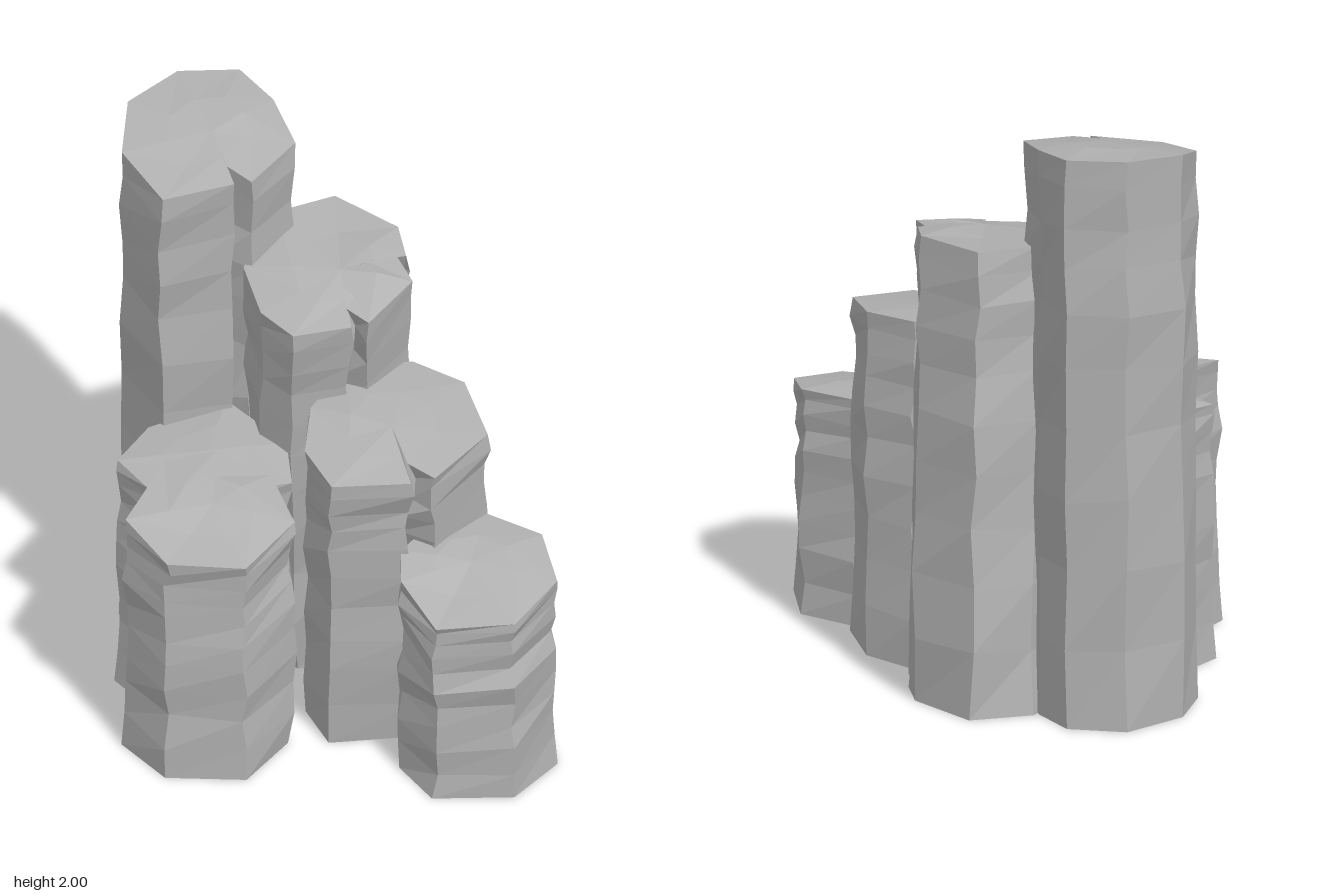
import * as THREE from 'three';

// Repeatable noise in -1..1
function seeded(seed) {
  let s = seed;
  return () => {
    s = (s * 16807) % 2147483647;
    return (s / 2147483647) * 2 - 1;
  };
}

// One leaning stone column. rim: [x, z, y, cleft] corners, clockwise from above;
// lean: [x, z] offset of the foot. Corners flagged as cleft weave in and out.
function columnGeometry(rim, lean, seed) {
  const rand = seeded(seed * 7919 + 13);
  const n = rim.length;
  const mean = k => rim.reduce((sum, p) => sum + p[k], 0) / n;
  const cx = mean(0), cz = mean(1), cy = mean(2);
  const levels = [0, 0.05, 0.12, 0.19, 0.27, 0.37, 0.48, 0.6, 0.72, 0.86, 1];
  const rings = levels.map((t, level) => rim.map(([x, z, y, cleft]) => {
    const rough = level === 0 ? 0 : 0.011;
    let px = x + lean[0] * t, pz = z + lean[1] * t;
    // Worn waist under the front of the cap
    if (z > cz && t > 0.1 && t < 0.35) pz -= 0.015;
    if (cleft) {
      px += Math.sin(t * 22) * 0.02;
      pz += Math.sin(t * 17) * 0.025;
    }
    const sway = level > 0 && level < levels.length - 1 ? rand() * 0.012 : 0;
    return [px + rand() * rough, y * (1 - t) + sway, pz + rand() * rough];
  }));

  const pos = [];
  const tri = (a, b, c) => pos.push(...a, ...b, ...c);
  for (let r = 0; r < rings.length - 1; r++) {
    for (let i = 0; i < n; i++) {
      const j = (i + 1) % n, up = rings[r], low = rings[r + 1];
      tri(up[i], up[j], low[j]);
      tri(up[i], low[j], low[i]);
    }
  }
  // Faceted cap with an inner ring, and a flat foot
  const centre = [cx, cy + 0.022, cz];
  const inner = rings[0].map(p => [
    cx + (p[0] - cx) * 0.5,
    cy + 0.015 + (p[1] - cy) * 0.55 + rand() * 0.008,
    cz + (p[2] - cz) * 0.5,
  ]);
  const foot = rings[rings.length - 1];
  const footCentre = [cx + lean[0], 0, cz + lean[1]];
  for (let i = 0; i < n; i++) {
    const j = (i + 1) % n;
    tri(centre, inner[j], inner[i]);
    tri(inner[i], inner[j], rings[0][j]);
    tri(inner[i], rings[0][j], rings[0][i]);
    tri(footCentre, foot[i], foot[j]);
  }
  const geometry = new THREE.BufferGeometry();
  geometry.setAttribute('position', new THREE.Float32BufferAttribute(pos, 3));
  geometry.computeVertexNormals();
  return geometry;
}

export function createModel() {
  const group = new THREE.Group();
  group.name = 'stoneColumns';
  const stone = new THREE.MeshStandardMaterial({ color: 0xb0b0b0, flatShading: true });
  stone.name = 'grey stone';

  let seed = 1;
  const addColumn = (name, lean, rim) => {
    const mesh = new THREE.Mesh(columnGeometry(rim, lean, seed++), stone);
    mesh.name = name;
    group.add(mesh);
  };

  // Tallest column at the back
  addColumn('tallestColumn', [0.02, -0.03], [
    [-0.18, -0.72, 1.92], [-0.03, -0.86, 1.98], [0.19, -0.86, 2], [0.35, -0.73, 2],
    [0.34, -0.55, 1.98], [0.27, -0.36, 1.94], [0.05, -0.33, 1.9],
    [0.03, -0.43, 1.92, 1], [0, -0.36, 1.9], [-0.21, -0.48, 1.87],
  ]);

  // Second column, leaning forward
  addColumn('secondColumn', [0.11, -0.12], [
    [0.04, -0.36, 1.54], [0.28, -0.46, 1.6], [0.48, -0.4, 1.6], [0.53, -0.14, 1.59],
    [0.46, -0.02, 1.57], [0.44, -0.05, 1.57, 1], [0.4, 0.08, 1.55], [0.18, 0.11, 1.5],
    [0.16, 0.02, 1.52, 1], [0.13, 0.08, 1.49], [-0.04, -0.02, 1.48], [-0.05, -0.17, 1.5],
  ]);

  // Third column
  addColumn('thirdColumn', [0.05, -0.06], [
    [-0.12, 0.13, 1.13], [0.02, 0, 1.17], [0.25, -0.07, 1.2], [0.42, 0.06, 1.2],
    [0.48, 0.25, 1.19], [0.38, 0.48, 1.15], [0.12, 0.51, 1.11],
    [0.09, 0.41, 1.13, 1], [0.05, 0.47, 1.1], [-0.16, 0.31, 1.1],
  ]);

  // Short front column
  addColumn('frontColumn', [0, -0.01], [
    [-0.03, 0.51, 0.76], [0.05, 0.42, 0.8], [0.22, 0.38, 0.81], [0.4, 0.45, 0.8],
    [0.47, 0.65, 0.79], [0.37, 0.84, 0.75], [0.14, 0.89, 0.71], [-0.06, 0.72, 0.69],
  ]);

  // Low column at the side
  addColumn('sideColumn', [-0.01, 0], [
    [-0.63, -0.19, 0.92], [-0.36, -0.3, 0.97], [-0.19, -0.23, 0.97], [-0.12, -0.04, 0.94],
    [-0.2, 0.17, 0.9], [-0.46, 0.22, 0.86], [-0.64, 0.03, 0.86],
  ]);

  // Low column behind it
  addColumn('rearSideColumn', [-0.01, 0], [
    [-0.41, -0.48, 0.9], [-0.23, -0.53, 0.92], [0.02, -0.42, 0.97], [0.02, -0.12, 0.96],
    [-0.08, 0.02, 0.92], [-0.24, -0.1, 0.9], [-0.42, -0.32, 0.88],
  ]);

  return group;
}
